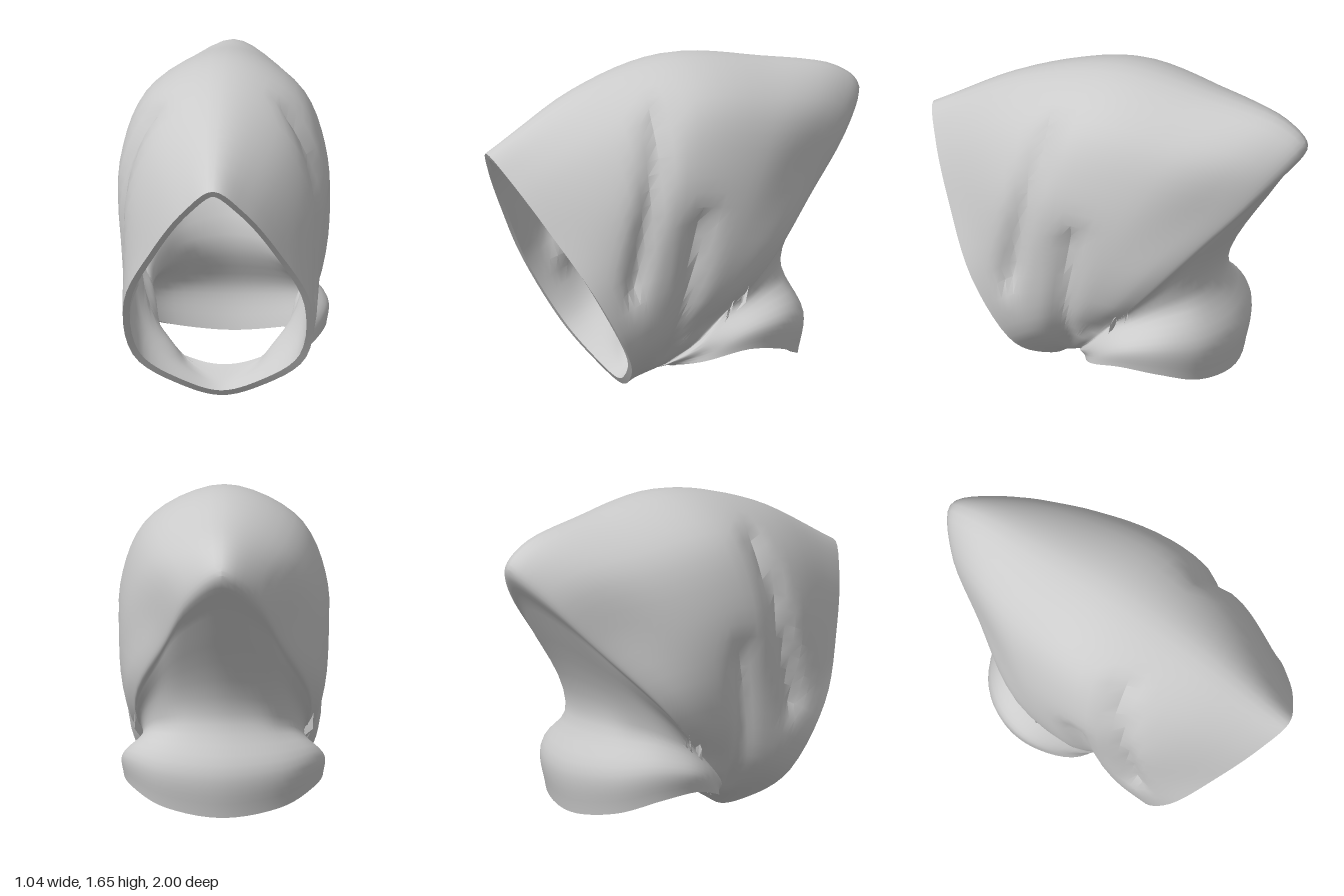
import * as THREE from 'three';
import { toCreasedNormals } from 'three/addons/utils/BufferGeometryUtils.js';

// Cross-sections fan out from the chin, from the face opening over the crown to the neck.
// z, y: crown end; bow: lift of the middle; w: half widths at the stations T
const T = [0.05, 0.18, 0.45, 0.7, 0.9];
const SECTIONS = [
  { z: 1, y: 1.24, bow: 0, w: [0.42, 0.465, 0.32, 0.15] },
  { z: 0.5, y: 1.52, bow: 0, w: [0.43, 0.49, 0.46, 0.29] },
  { z: 0, y: 1.65, bow: 0, w: [0.41, 0.5, 0.51, 0.37] },
  { z: -0.5, y: 1.59, bow: 0, w: [0.39, 0.51, 0.47, 0.32] },
  { z: -0.88, y: 1.51, bow: 0, w: [0.38, 0.48, 0.35, 0.22] },
  { z: -1, y: 1.4, bow: 0, w: [0.37, 0.44, 0.3, 0.17] },
  { z: -0.85, y: 1.17, bow: 0.02, w: [0.37, 0.43, 0.32, 0.19] },
  { z: -0.545, y: 0.61, bow: 0.1, w: [0.37, 0.43, 0.37, 0.24] },
  { z: -0.65, y: 0.32, bow: 0.14, w: [0.39, 0.5, 0.46, 0.31] },
  { z: -0.62, y: 0.1, bow: 0.14, w: [0.4, 0.49, 0.45, 0.3] },
];

// Creases pressed into each side, running from one point (z, y) to another
const crease = (z0, y0, z1, y1, depth) =>
  ({ from: new THREE.Vector2(z0, y0), run: new THREE.Vector2(z1 - z0, y1 - y0), depth });
const CREASES = [
  crease(0.24, 1.42, 0.4, 0.6, 0.05),
  crease(0.06, 0.9, 0.16, 0.18, 0.045),
  crease(0, 0.36, -0.5, 0.54, 0.03),
];

const AROUND = 64, STEPS = 6, THICKNESS = 0.035;

// Closed outline of one section: up the left side, down the right
function outline({ z, y, bow, w }, i) {
  const f = i / (SECTIONS.length - 1);
  const chinZ = THREE.MathUtils.lerp(0.28, 0.135, f);
  const chinY = THREE.MathUtils.lerp(0.005, 0.1, f);
  const at = (t, x) => new THREE.Vector3(
    x,
    THREE.MathUtils.lerp(chinY, y, t) + bow * Math.sin(Math.PI * t),
    THREE.MathUtils.lerp(chinZ, z, t));
  const widths = [0.2, ...w];
  const left = T.map((t, k) => at(t, widths[k]));
  const right = T.map((t, k) => at(t, -widths[k])).reverse();
  const curve = new THREE.CatmullRomCurve3([at(0, 0), ...left, at(1, 0), ...right], true);
  return Array.from({ length: AROUND }, (_, j) => curve.getPoint(j / AROUND));
}

function pressCreases(p) {
  const side = THREE.MathUtils.smoothstep(Math.abs(p.x), 0.15, 0.35);
  for (const { from, run, depth } of CREASES) {
    const offset = new THREE.Vector2(p.z, p.y).sub(from);
    const s = THREE.MathUtils.clamp(offset.dot(run) / run.lengthSq(), 0, 1);
    const d = offset.addScaledVector(run, -s).length() / 0.06;
    p.x -= Math.sign(p.x) * depth * side * Math.exp(-d * d);
  }
  p.y = Math.max(p.y, 0);
  return p;
}

// Surface through rows of closed rings; joined links the last row to the first
function skin(rows, joined) {
  const index = [], n = AROUND;
  for (let i = 0; i < rows.length - (joined ? 0 : 1); i++) {
    const next = (i + 1) % rows.length;
    for (let j = 0; j < n; j++) {
      const k = (j + 1) % n;
      const a = i * n + j, b = next * n + j, c = next * n + k, d = i * n + k;
      index.push(a, b, c, a, c, d);
    }
  }
  const geometry = new THREE.BufferGeometry().setFromPoints(rows.flat());
  geometry.setIndex(index);
  geometry.computeVertexNormals();
  return geometry;
}

export function createModel() {
  const group = new THREE.Group();
  group.name = 'hood';

  // Outer cloth, smoothed from section to section
  const rings = SECTIONS.map(outline);
  const count = (rings.length - 1) * STEPS;
  const columns = rings[0].map((_, j) => new THREE.CatmullRomCurve3(rings.map((r) => r[j])));
  const outer = Array.from({ length: count + 1 }, (_, i) =>
    columns.map((curve) => pressCreases(curve.getPoint(i / count))));

  // Lining, set in by the thickness of the cloth
  const normals = skin(outer, false).getAttribute('normal');
  const lining = outer.map((row, i) => row.map((p, j) =>
    new THREE.Vector3().fromBufferAttribute(normals, i * AROUND + j)
      .multiplyScalar(-THICKNESS).add(p)));

  // Outside, neck hem, lining and face hem form one closed skin
  const geometry = toCreasedNormals(skin([...outer, ...lining.reverse()], true), 0.6);
  const cloth = new THREE.Mesh(geometry, new THREE.MeshStandardMaterial({ color: 0xcccccc }));
  cloth.name = 'hoodCloth';
  group.add(cloth);
  return group;
}
